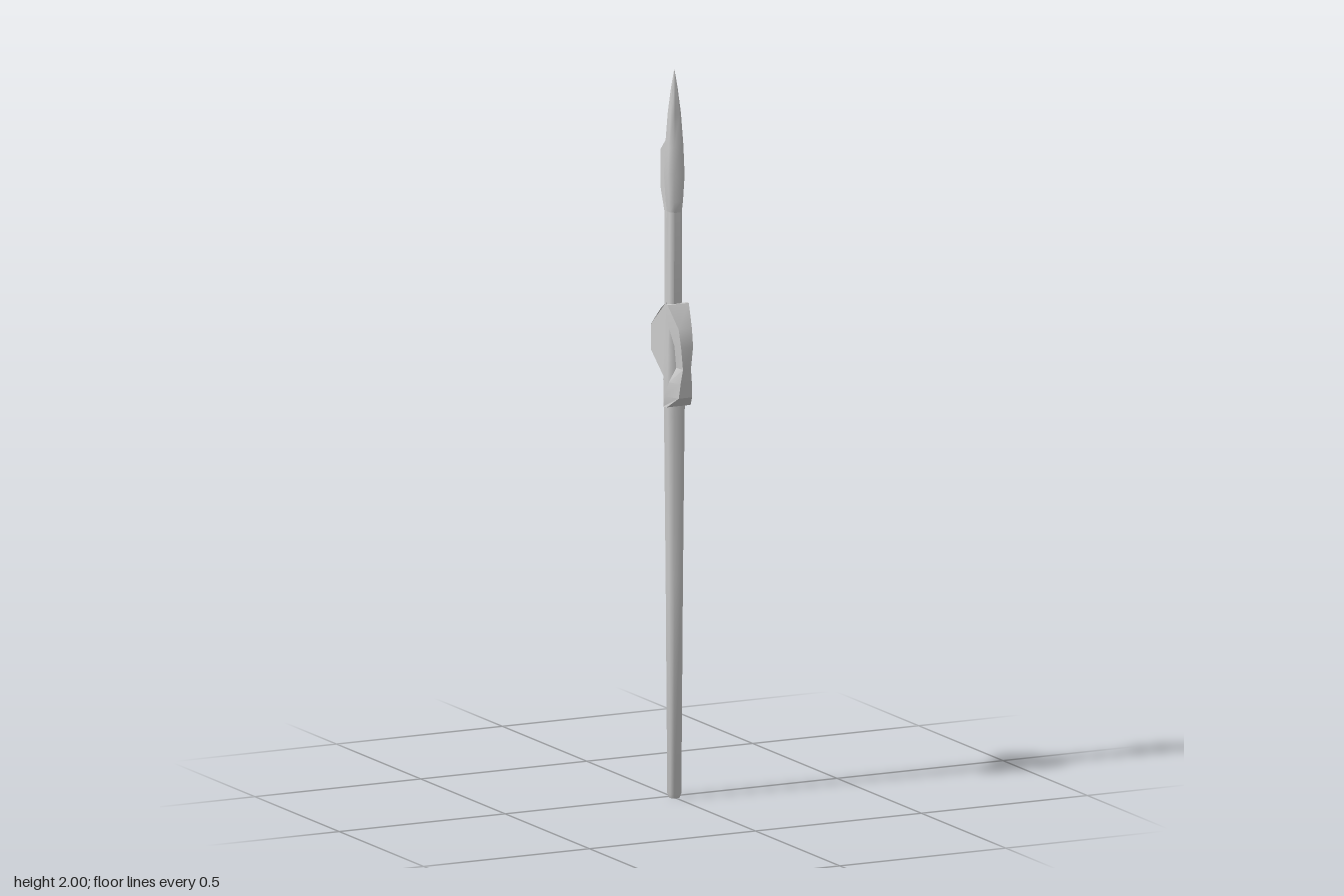
import * as THREE from 'three';
import { toCreasedNormals } from 'three/addons/utils/BufferGeometryUtils.js';

const grey = new THREE.MeshStandardMaterial({ color: 0xcccccc });
const AXIS_Z = 0.019; // the shaft sits slightly forward of the origin

// Skin a stack of equal-sized rings (bottom to top, each counterclockwise from above)
function loft(rings, crease) {
  const n = rings[0].length;
  const pos = [];
  const tri = (...corners) => corners.forEach((p) => pos.push(...p));
  for (let i = 0; i < rings.length - 1; i++) {
    for (let j = 0; j < n; j++) {
      const k = (j + 1) % n;
      const a = rings[i][j], b = rings[i][k], c = rings[i + 1][k], d = rings[i + 1][j];
      tri(a, b, c);
      tri(a, c, d);
    }
  }
  const bottom = rings[0], top = rings[rings.length - 1];
  for (let j = 1; j < n - 1; j++) {
    tri(bottom[0], bottom[j + 1], bottom[j]);
    tri(top[0], top[j], top[j + 1]);
  }
  const geo = new THREE.BufferGeometry();
  geo.setAttribute('position', new THREE.Float32BufferAttribute(pos, 3));
  return toCreasedNormals(geo, crease);
}

// Square section with chamfered corners
function chamferedRing([y, rx, rz]) {
  const k = 0.5;
  return [[1, k], [1, -k], [k, -1], [-k, -1], [-1, -k], [-1, k], [-k, 1], [k, 1]]
    .map(([x, z]) => [x * rx, y, AXIS_Z + z * rz]);
}

// Trapezoid section of the front guard
function guardRing([y, zBack, zFront, wBack, wFront]) {
  return [[wFront, y, zFront], [wBack, y, zBack], [-wBack, y, zBack], [-wFront, y, zFront]];
}

// Side outline of [z, y] points, given a thickness that may vary with z
function fin(outline, halfWidth) {
  const shape = new THREE.Shape(outline.map(([z, y]) => new THREE.Vector2(-z, y)));
  const geo = new THREE.ExtrudeGeometry(shape, { depth: 2, bevelEnabled: false });
  geo.translate(0, 0, -1).rotateY(Math.PI / 2);
  const p = geo.attributes.position;
  for (let i = 0; i < p.count; i++) p.setX(i, p.getX(i) * halfWidth(p.getZ(i)));
  return toCreasedNormals(geo, 0.3);
}

export function createModel() {
  const group = new THREE.Group();
  const add = (name, geometry) => {
    const mesh = new THREE.Mesh(geometry, grey);
    mesh.name = name;
    group.add(mesh);
  };

  // Long tapering handle, swelling below the guard
  add('shaft', loft([
    [0, 0.013, 0.013],
    [0.012, 0.017, 0.017],
    [0.6, 0.021, 0.02],
    [1.05, 0.025, 0.024],
    [1.15, 0.027, 0.025],
    [1.22, 0.025, 0.022],
    [1.36, 0.019, 0.018],
    [1.64, 0.018, 0.018],
  ].map(chamferedRing), 0.95));

  // Pointed head
  add('spearHead', loft([
    [1.61, 0.018, 0.018],
    [1.64, 0.021, 0.021],
    [1.71, 0.025, 0.024],
    [1.79, 0.022, 0.022],
    [1.88, 0.016, 0.016],
    [1.95, 0.008, 0.008],
    [2, 0.0005, 0.0005],
  ].map(chamferedRing), 0.95));

  // Bowed guard in front, open behind its waist
  add('frontGuard', loft([
    [1.08, 0.03, 0.045, 0.039, 0.036],
    [1.11, 0.04, 0.085, 0.04, 0.02],
    [1.15, 0.052, 0.09, 0.033, 0.017],
    [1.19, 0.062, 0.094, 0.016, 0.012],
    [1.25, 0.063, 0.095, 0.022, 0.018],
    [1.3, 0.05, 0.084, 0.032, 0.02],
    [1.36, 0.03, 0.042, 0.035, 0.032],
  ].map(guardRing), 0.4));

  // Thin rail up the back, rising into the upper fin
  add('backRailAndUpperFin', fin([
    [0.01, 1.3], [-0.016, 1.3], [-0.016, 1.6], [-0.042, 1.67],
    [-0.042, 1.77], [-0.003, 1.81], [0.01, 1.81],
  ], () => 0.011));

  // Larger lower fin, thinning toward its outer edge
  add('lowerFin', fin([
    [0.01, 1.36], [0.01, 1.14], [0, 1.15], [-0.098, 1.21],
    [-0.098, 1.28], [-0.02, 1.34],
  ], (z) => THREE.MathUtils.mapLinear(Math.min(z, -0.02), -0.098, -0.02, 0.011, 0.02)));

  return group;
}
